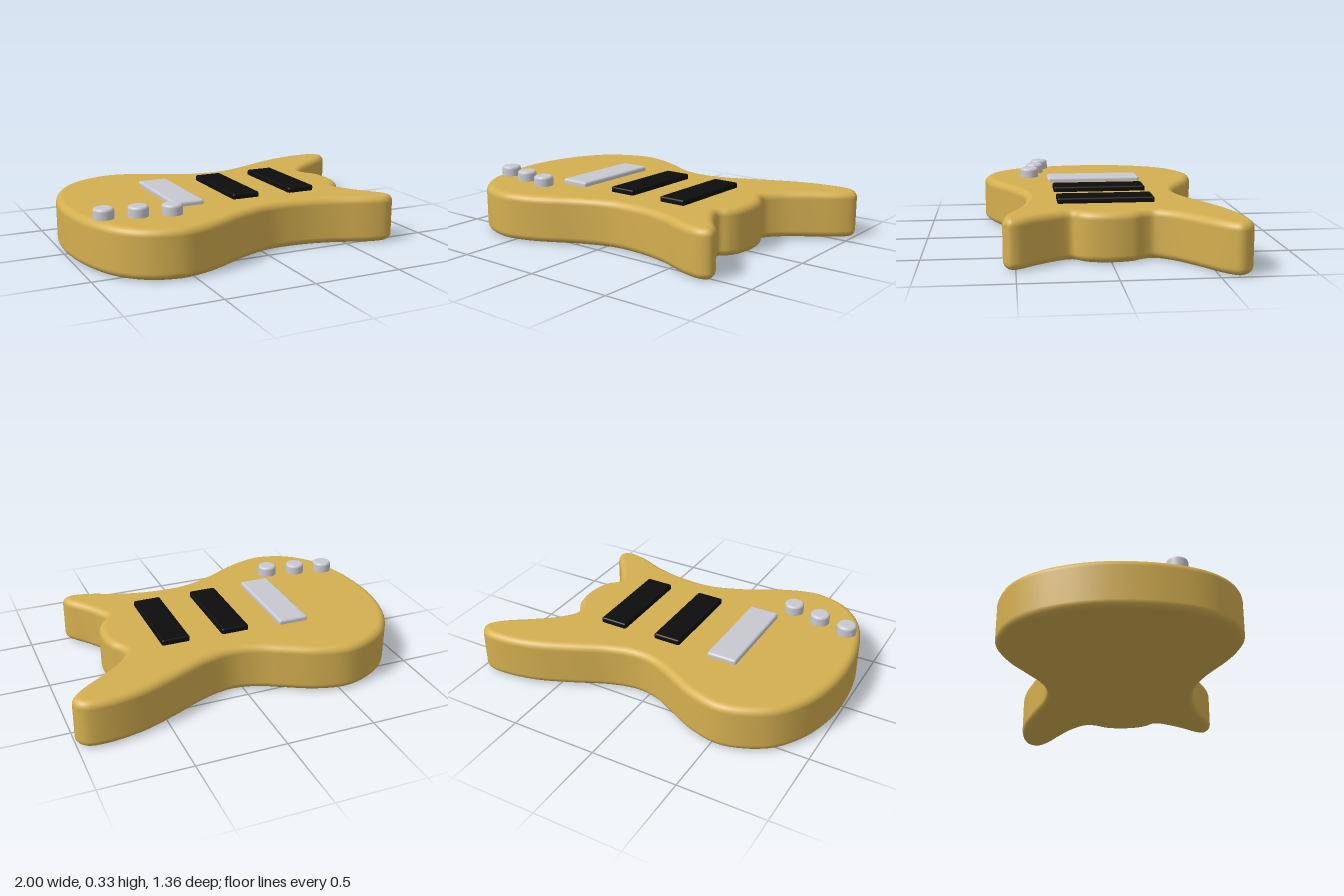
import * as THREE from 'three';
import { mergeVertices } from 'three/addons/utils/BufferGeometryUtils.js';
import { RoundedBoxGeometry } from 'three/addons/geometries/RoundedBoxGeometry.js';

const gold = new THREE.MeshStandardMaterial({ name: 'gold paint', color: 0xd4af50 });
const black = new THREE.MeshStandardMaterial({ name: 'black plastic', color: 0x0d0d0d });
const metal = new THREE.MeshStandardMaterial({ name: 'pale metal', color: 0xc8c8d0 });

const TOP = 0.27; // height of the body's top face
const EDGE = 0.04; // rounded edge radius

// Body outline as (x, z) points, joined by a closed smooth curve
const OUTLINE = [
  [-1, 0], [-0.98, -0.2], [-0.915, -0.39], [-0.79, -0.55], [-0.56, -0.645], [-0.37, -0.612],
  [-0.2, -0.53], [-0.07, -0.465], [0.07, -0.44], [0.23, -0.475], [0.43, -0.565],
  // long horn
  [0.645, -0.65], [0.86, -0.683], [0.96, -0.665], [1, -0.6], [0.95, -0.525], [0.8, -0.415], [0.68, -0.32],
  // neck heel
  [0.617, -0.23], [0.63, -0.18], [0.667, -0.12], [0.685, -0.01], [0.67, 0.1], [0.64, 0.16], [0.6, 0.205],
  // short horn
  [0.625, 0.27], [0.69, 0.37], [0.772, 0.475], [0.78, 0.53], [0.73, 0.562], [0.62, 0.548],
  [0.43, 0.475], [0.25, 0.437], [0.055, 0.437], [-0.13, 0.5], [-0.32, 0.602],
  [-0.45, 0.653], [-0.575, 0.672], [-0.745, 0.62], [-0.88, 0.49], [-0.97, 0.26],
];

function bodyGeometry() {
  const curve = new THREE.CatmullRomCurve3(
    OUTLINE.map(([x, z]) => new THREE.Vector3(x, -z, 0)), true, 'centripetal');
  const points = curve.getPoints(OUTLINE.length * 5).slice(0, -1);
  const shape = new THREE.Shape(points.map((p) => new THREE.Vector2(p.x, p.y)));
  let geo = new THREE.ExtrudeGeometry(shape, {
    depth: TOP - 2 * EDGE, bevelEnabled: true, bevelThickness: EDGE,
    bevelSize: EDGE, bevelOffset: -EDGE, bevelSegments: 6,
  });
  geo.rotateX(-Math.PI / 2).translate(0, EDGE, 0);
  // Weld the faces so that walls and edges shade smoothly
  geo.deleteAttribute('normal');
  geo.deleteAttribute('uv');
  geo = mergeVertices(geo, 1e-5);
  geo.computeVertexNormals();
  return geo;
}

export function createModel() {
  const model = new THREE.Group();
  model.name = 'guitarBody';

  const add = (name, geometry, material, x = 0, y = 0, z = 0) => {
    const mesh = new THREE.Mesh(geometry, material);
    mesh.name = name;
    mesh.position.set(x, y, z);
    model.add(mesh);
  };

  add('body', bodyGeometry(), gold);

  // Plates sunk slightly into the top face
  const plate = (name, material, x, width, length, top, radius) => {
    const height = top - TOP + 0.02;
    add(name, new RoundedBoxGeometry(width, height, length, 3, radius), material, x, top - height / 2, 0);
  };
  plate('bridgePickup', black, -0.02, 0.16, 0.53, 0.3, 0.01);
  plate('neckPickup', black, 0.332, 0.16, 0.53, 0.3, 0.01);
  plate('bridge', metal, -0.373, 0.177, 0.566, 0.297, 0.014);

  // Control knobs with rounded rims
  const R = 0.056, H = 0.058, r = 0.016;
  const profile = [new THREE.Vector2(R, -0.01)];
  for (let i = 0; i <= 5; i++) {
    const a = (i / 5) * Math.PI / 2;
    profile.push(new THREE.Vector2(R - r + r * Math.cos(a), H - r + r * Math.sin(a)));
  }
  profile.push(new THREE.Vector2(0, H));
  const knob = new THREE.LatheGeometry(profile, 40);
  [[-0.867, 0.318], [-0.691, 0.354], [-0.515, 0.39]].forEach(([x, z], i) =>
    add(`knob${i + 1}`, knob, metal, x, TOP, z));

  return model;
}
